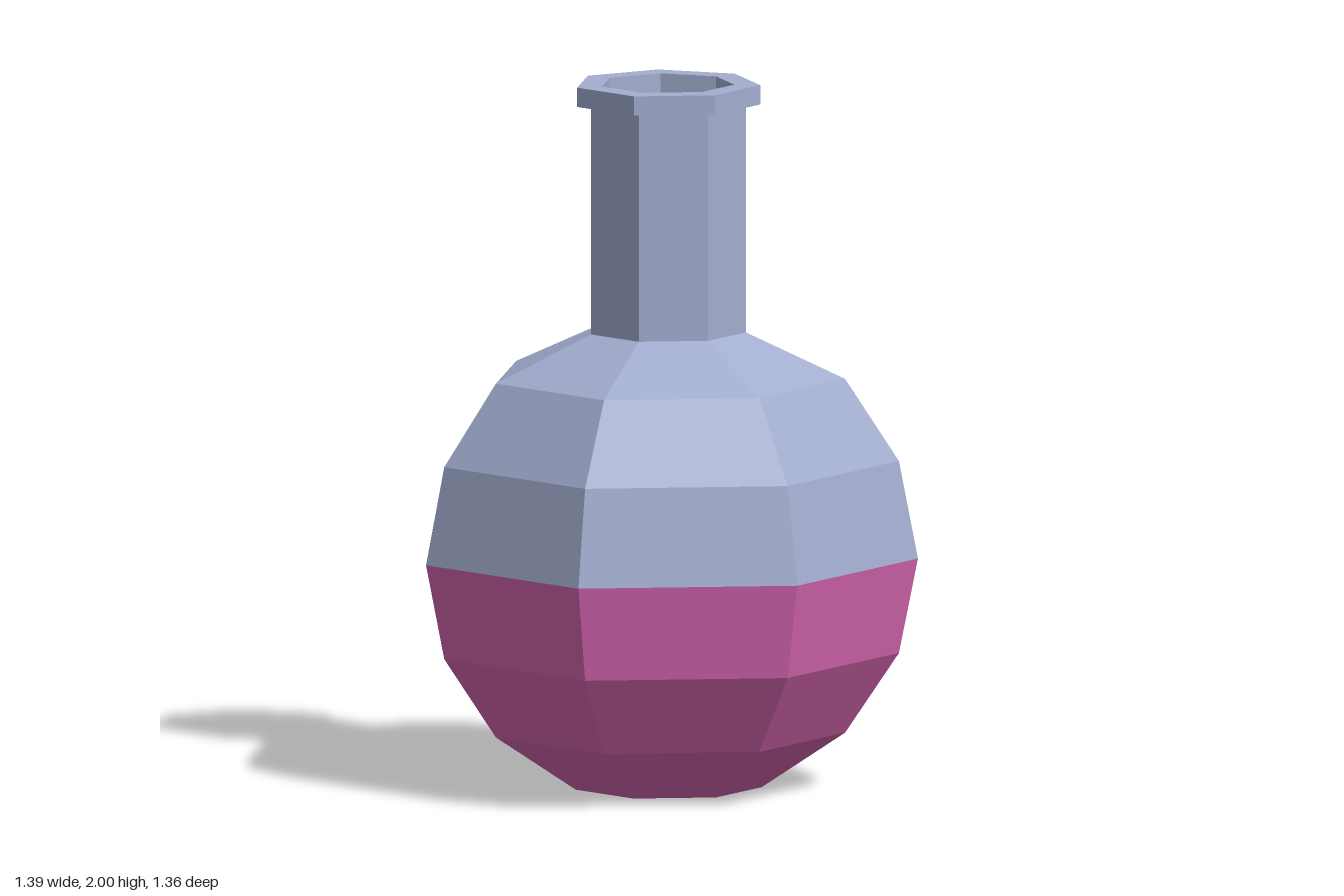
import * as THREE from 'three';

const SIDES = 7;

// Turn a profile of [radius, height] pairs into a faceted seven-sided part.
function turned(name, profile, color) {
  const points = profile.map(([r, y]) => new THREE.Vector2(r, y));
  // start at the back so that one corner points to -z
  const geometry = new THREE.LatheGeometry(points, SIDES, Math.PI);
  const material = new THREE.MeshStandardMaterial({ color, flatShading: true });
  const mesh = new THREE.Mesh(geometry, material);
  mesh.name = name;
  return mesh;
}

export function createModel() {
  const glass = 0xa3aed0;
  const pink = 0xd465b0;
  const level = 0.66; // height of the liquid surface

  const flask = new THREE.Group();
  flask.name = 'flask';

  // Lower half of the bulb, filled, with a flat liquid surface
  flask.add(turned('liquid', [
    [0, 0], [0.27, 0], [0.507, 0.16], [0.66, 0.39], [0.714, level], [0, level],
  ], pink));

  // Upper half of the bulb, outside and inside wall
  flask.add(turned('upperBulb', [
    [0.714, level], [0.66, 0.937], [0.507, 1.168], [0.225, 1.295],
  ], glass));
  flask.add(turned('innerBulb', [
    [0.192, 1.275], [0.488, 1.14], [0.63, 0.925], [0.684, level],
  ], glass));

  // Neck tube, outside and inside wall
  flask.add(turned('neck', [[0.225, 1.295], [0.225, 1.945]], glass));
  flask.add(turned('innerNeck', [[0.192, 2], [0.192, 1.275]], glass));

  // Wider lip around the mouth
  flask.add(turned('rim', [
    [0.225, 1.945], [0.266, 1.945], [0.266, 2], [0.192, 2],
  ], glass));

  // A heptagon reaches further back than forward, so shift it to centre its bounds
  flask.children.forEach((part) => { part.position.z = 0.035; });
  return flask;
}
